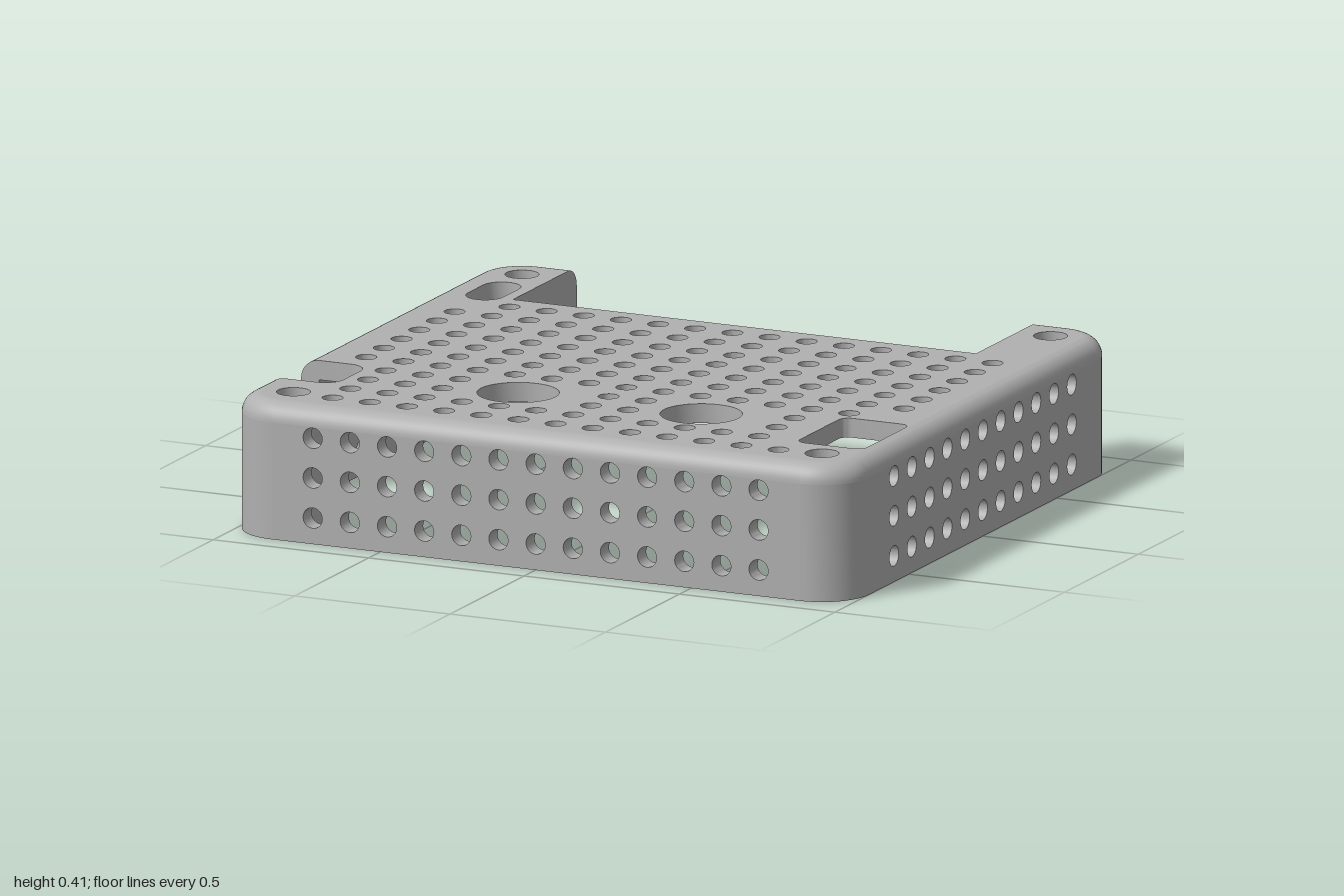
import * as THREE from 'three';
import { toCreasedNormals } from 'three/addons/utils/BufferGeometryUtils.js';

const HX = 1, HZ = 0.922, H = 0.408;   // half width, half depth, height
const T = 0.058;                       // wall, plate and edge-rounding size
const R = 0.15;                        // corner radius
const CX = HX - R, CZ = HZ - R;        // corner centres
const WALL_TOP = H - T;
const PITCH = 0.1195, HOLE = 0.031;
const ROWS_Y = [0.078, 0.198, 0.317];

const grey = new THREE.MeshStandardMaterial({ color: 0xb0b0b0 });
grey.name = 'grey plastic';

const V = (x, y) => new THREE.Vector2(x, y);

function arc(cx, cy, r, a0, a1, n = 12) {
  const pts = [];
  for (let i = 0; i <= n; i++) {
    const a = (a0 + (a1 - a0) * i / n) * Math.PI / 180;
    pts.push(V(cx + r * Math.cos(a), cy + r * Math.sin(a)));
  }
  return pts;
}

const circle = (x, y, r, n = 20) => new THREE.Path(arc(x, y, r, 0, 360, n).slice(0, -1));

function extrude(shape, depth) {
  return new THREE.ExtrudeGeometry(shape, { depth, bevelEnabled: false, curveSegments: 12 });
}

function mesh(geo, name) {
  const m = new THREE.Mesh(toCreasedNormals(geo, 0.6), grey);
  m.name = name;
  return m;
}

// Plan outlines use (x, -z) and are raised from y0
function plan(shape, y0, depth, name) {
  return mesh(extrude(shape, depth).rotateX(-Math.PI / 2).translate(0, y0, 0), name);
}

// Perforated top plate with its windows
function topPlate() {
  const x = HX - T, r = R - T, cut = 0.745, back = 0.49, zb = HZ - T;
  const shape = new THREE.Shape([
    ...arc(CX, -CZ, r, -90, 0), ...arc(CX, CZ, r, 0, 90),
    V(cut, zb), V(cut, back), V(-cut, back), V(-cut, zb),
    ...arc(-CX, CZ, r, 90, 180),
    V(-x, -0.405), ...arc(-0.84, -0.465, 0.06, 90, 0, 8),
    ...arc(-0.84, -0.58, 0.06, 0, -90, 8), V(-x, -0.64),
    ...arc(-CX, -CZ, r, 180, 270),
  ]);
  // Vent grid: first and last column of each row, with gaps around the openings
  const spans = [[-6, 7], [-7, 7], [-7, 7], [-7, 7], [-7, 7], [-7, 7], [-7, 6],
    [-6, 5], [-6, 5], [-6, 5], [-6, 6]];
  const gaps = [-3, -2, -1, 2, 3, 4];
  spans.forEach(([a, b], j) => {
    for (let i = a; i <= b; i++) {
      if ((j === 7 || j === 8) && gaps.includes(i)) continue;
      shape.holes.push(circle(i * PITCH, 0.408 - j * PITCH, HOLE));
    }
  });
  for (const bx of [-0.257, 0.332]) shape.holes.push(circle(bx, -0.5, 0.12, 40));
  for (const sx of [-1, 1]) for (const sz of [-1, 1]) shape.holes.push(circle(sx * CX, sz * CZ, 0.05, 24));
  // Long slot and rounded rectangle
  shape.holes.push(new THREE.Path([...arc(-0.84, 0.612, 0.057, 0, 180), ...arc(-0.84, 0.503, 0.057, 180, 360)]));
  shape.holes.push(new THREE.Path([
    ...arc(0.908, -0.39, 0.03, 0, 90, 6), ...arc(0.752, -0.39, 0.03, 90, 180, 6),
    ...arc(0.752, -0.652, 0.03, 180, 270, 6), ...arc(0.908, -0.652, 0.03, 270, 360, 6),
  ]));
  return plan(shape, WALL_TOP, T, 'topPlate');
}

// Side wall in its own frame: runs along x, outer face towards +z
function wall(name, outline, holes, turn, dist, thick = T) {
  const shape = new THREE.Shape(outline);
  for (const [a, y] of holes) shape.holes.push(circle(a, y, HOLE));
  const geo = extrude(shape, thick).translate(0, 0, dist - thick).rotateY(turn);
  return mesh(geo, name);
}

const rect = (a0, a1) => [V(a0, 0), V(a1, 0), V(a1, WALL_TOP), V(a0, WALL_TOP)];

// Straight rounded top edge
function edge(a0, a1, turn, dist) {
  const shape = new THREE.Shape([V(0, 0), ...arc(0, 0, T, 0, 90, 10)]);
  const geo = extrude(shape, a1 - a0).rotateY(-Math.PI / 2)
    .translate(a1, WALL_TOP, dist - T).rotateY(turn);
  return mesh(geo, 'roundedEdge');
}

// Rounded top edge around a corner
function cornerEdge(sx, sz, start) {
  const geo = new THREE.LatheGeometry(arc(R - T, WALL_TOP, T, 0, 90, 10), 12, start, Math.PI / 2);
  geo.translate(sx * CX, 0, sz * CZ);
  const m = new THREE.Mesh(geo, grey);
  m.name = 'cornerEdge';
  return m;
}

// Screw post in a corner; the local outline is mirrored into place
function post(name, local, sx, sz) {
  const shape = new THREE.Shape(local.map(p => V(sx * (CX + p.x), -sz * (CZ + p.y))));
  shape.holes.push(circle(sx * CX, -sz * CZ, 0.05, 24));
  return plan(shape, 0, WALL_TOP, name);
}

export function createModel() {
  const model = new THREE.Group();
  model.name = 'perforatedEnclosure';
  const q = Math.PI / 2, postEnd = 0.68;
  model.add(topPlate());

  // Front and right walls
  const grid = (from, to) => {
    const list = [];
    for (let i = from; i <= to; i++) for (const y of ROWS_Y) list.push([i * PITCH, y]);
    return list;
  };
  const sideGrid = (from, to) => grid(from, to).map(([a, y]) => [a * 1.005, y]);
  model.add(wall('frontWall', rect(-CX, CX), grid(-6, 6), 0, HZ));
  model.add(wall('rightWall', rect(-CZ, postEnd), sideGrid(-5, 5), q, HX));

  // Left wall with a low cutout at the back and a full-height gap near the front
  const leftOutline = [V(-0.445, 0), V(0.405, 0), V(0.405, WALL_TOP), V(-postEnd, WALL_TOP),
    V(-postEnd, 0.2), V(-0.445, 0.2)];
  const leftHoles = sideGrid(-5, 2).filter(([a, y]) => a > -0.42 || y > 0.25);
  model.add(wall('leftWall', leftOutline, leftHoles, -q, HX));
  model.add(wall('leftWallStub', rect(0.64, CZ), [], -q, HX, 0.1));

  // Rounded top edges
  model.add(edge(-CX, CX, 0, HZ), edge(-CZ, CZ, q, HX));
  model.add(edge(-CZ, 0.405, -q, HX), edge(0.64, CZ, -q, HX));
  model.add(edge(0.745, CX, 2 * q, HZ), edge(-CX, -0.745, 2 * q, HZ));
  [[1, 1], [1, -1], [-1, -1], [-1, 1]].forEach(([sx, sz], i) => model.add(cornerEdge(sx, sz, i * q)));

  // Screw posts: round at the front, square-backed at the rear
  const outer = arc(0, 0, R, 0, 90);
  const roundPost = [...outer, ...arc(0, 0, R - T, 90, 360, 30)];
  const inX = 0.745 - CX, inZ = postEnd - CZ;
  const squarePost = [...outer, V(inX, R), V(inX, inZ), V(R, inZ)];
  for (const sx of [-1, 1]) {
    model.add(post('frontPost', roundPost, sx, 1));
    model.add(post('backPost', squarePost, sx, -1));
  }
  return model;
}
